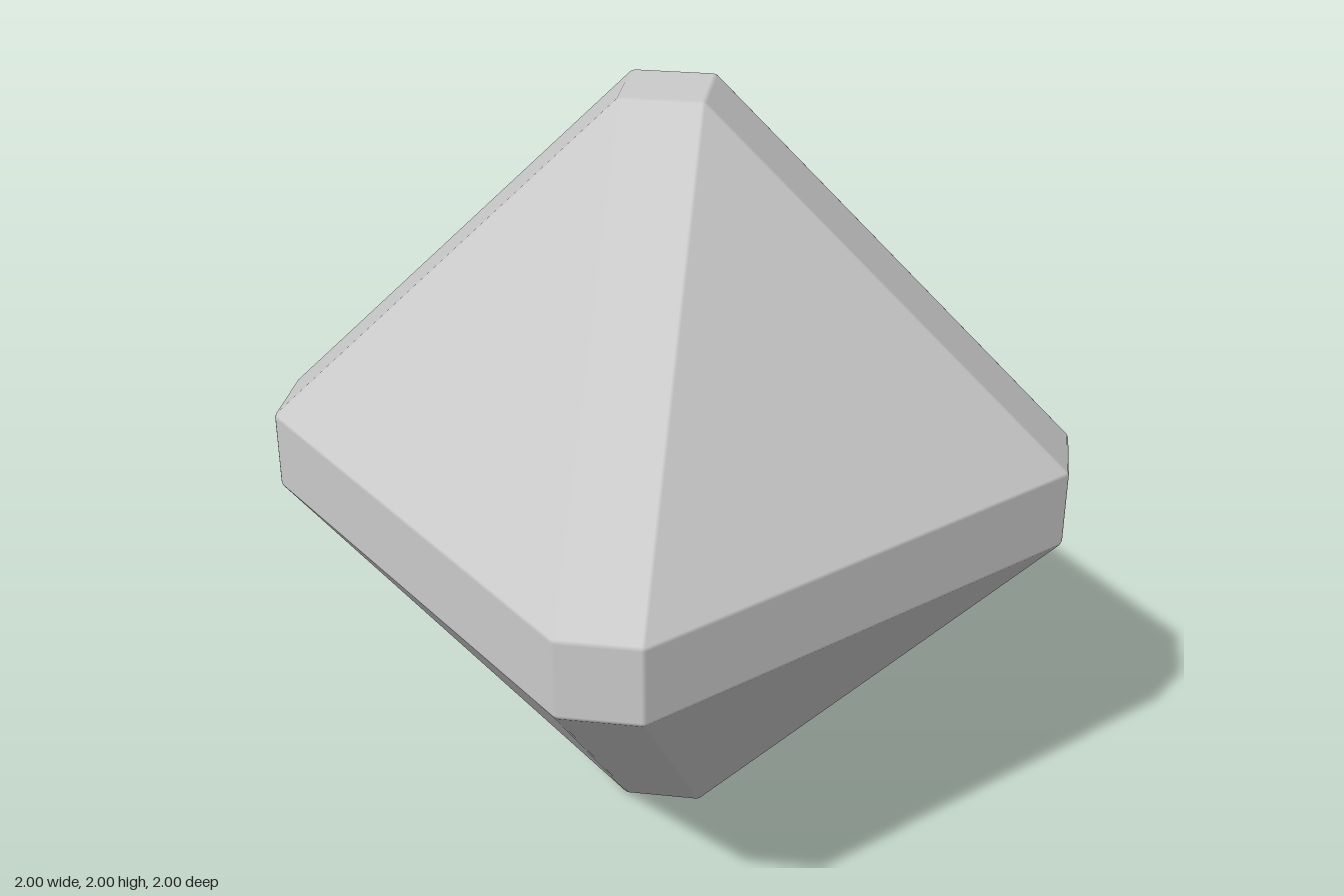
import * as THREE from 'three';
import { ConvexGeometry } from 'three/addons/geometries/ConvexGeometry.js';

const CHAMFER = 0.1; // half width of the flat tips
const ROUND = 0.015; // softening radius of every edge

// Octahedron with cut tips and edges. Each of its 24 corners becomes one point
// per adjoining face, pushed out along that face's normal.
function cornerPoints() {
  const points = [];
  const inner = CHAMFER - ROUND * (Math.SQRT2 - 1);
  for (let axis = 0; axis < 3; axis++) {
    for (let bits = 0; bits < 8; bits++) {
      const sign = [0, 1, 2].map((i) => ((bits >> i) & 1 ? 1 : -1));
      const centre = new THREE.Vector3(...sign.map((s, i) => s * (i === axis ? 1 - ROUND : inner)));
      const b = (axis + 1) % 3, c = (axis + 2) % 3;
      // tip square, two edge strips, main triangle
      for (const used of [[axis], [axis, b], [axis, c], [0, 1, 2]]) {
        const normal = new THREE.Vector3(...sign.map((s, i) => (used.includes(i) ? s : 0))).normalize();
        points.push({ position: centre.clone().addScaledVector(normal, ROUND), normal });
      }
    }
  }
  return points;
}

function softOctahedron() {
  const points = cornerPoints();
  const geometry = new ConvexGeometry(points.map((p) => p.position));
  const pos = geometry.attributes.position;
  const normals = geometry.attributes.normal;
  const v = new THREE.Vector3();
  // Flat faces keep their own normal; the narrow strips blend between them
  for (let i = 0; i < pos.count; i++) {
    v.fromBufferAttribute(pos, i);
    const match = points.find((p) => p.position.distanceToSquared(v) < 1e-8);
    normals.setXYZ(i, match.normal.x, match.normal.y, match.normal.z);
  }
  return geometry;
}

export function createModel() {
  const group = new THREE.Group();
  group.name = 'bevelledOctahedron';
  const body = new THREE.Mesh(softOctahedron(), new THREE.MeshStandardMaterial({ color: 0xcccccc }));
  body.name = 'octahedronBody';
  body.position.y = 1;
  group.add(body);
  return group;
}
